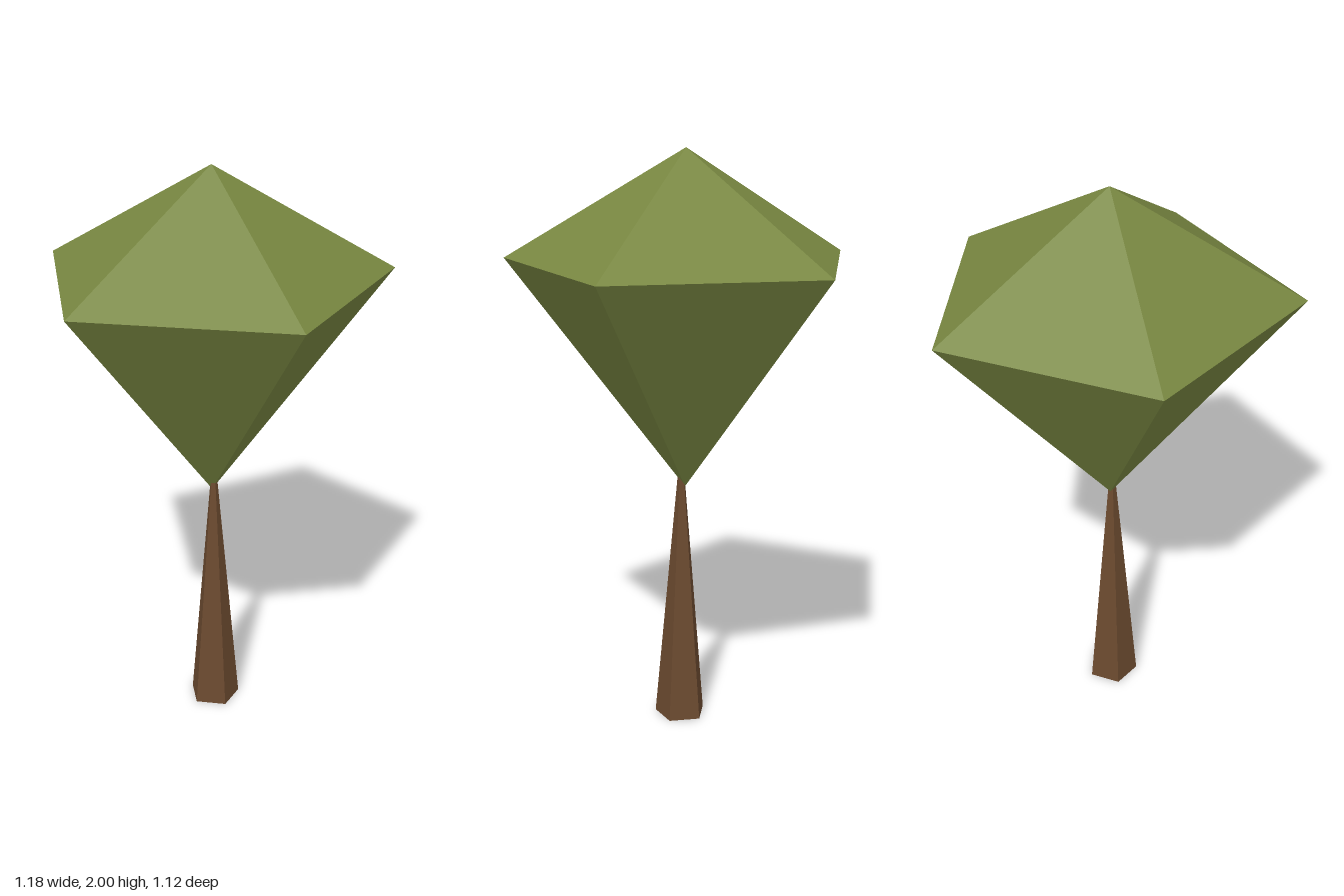
import * as THREE from 'three';

export function createModel() {
  const leaf = new THREE.MeshStandardMaterial({ color: 0x788741, flatShading: true });
  leaf.name = 'leafGreen';
  const bark = new THREE.MeshStandardMaterial({ color: 0x6b4a2f, flatShading: true, side: THREE.DoubleSide });
  bark.name = 'barkBrown';

  const tree = new THREE.Group();
  tree.name = 'tree';

  // Open five-sided cone standing on y, optionally hanging point down
  function addCone(parent, name, radius, y, height, z, material, down = false) {
    const geometry = new THREE.CylinderGeometry(down ? radius : 0, down ? 0 : radius, height, 5, 1, true);
    const mesh = new THREE.Mesh(geometry, material);
    mesh.name = name;
    mesh.position.set(0, y + height / 2, z);
    parent.add(mesh);
  }

  // Tapered trunk, hollow at the foot, its tip hidden in the crown
  addCone(tree, 'trunk', 0.0915, 0, 1.03, -0.046, bark);

  // Crown: shallow cap over a deep inverted pyramid
  const crown = new THREE.Group();
  crown.name = 'crown';
  addCone(crown, 'crownTop', 0.62, 1.63, 0.37, -0.059, leaf);
  addCone(crown, 'crownUnderside', 0.62, 0.85, 0.78, -0.059, leaf, true);
  tree.add(crown);

  return tree;
}
